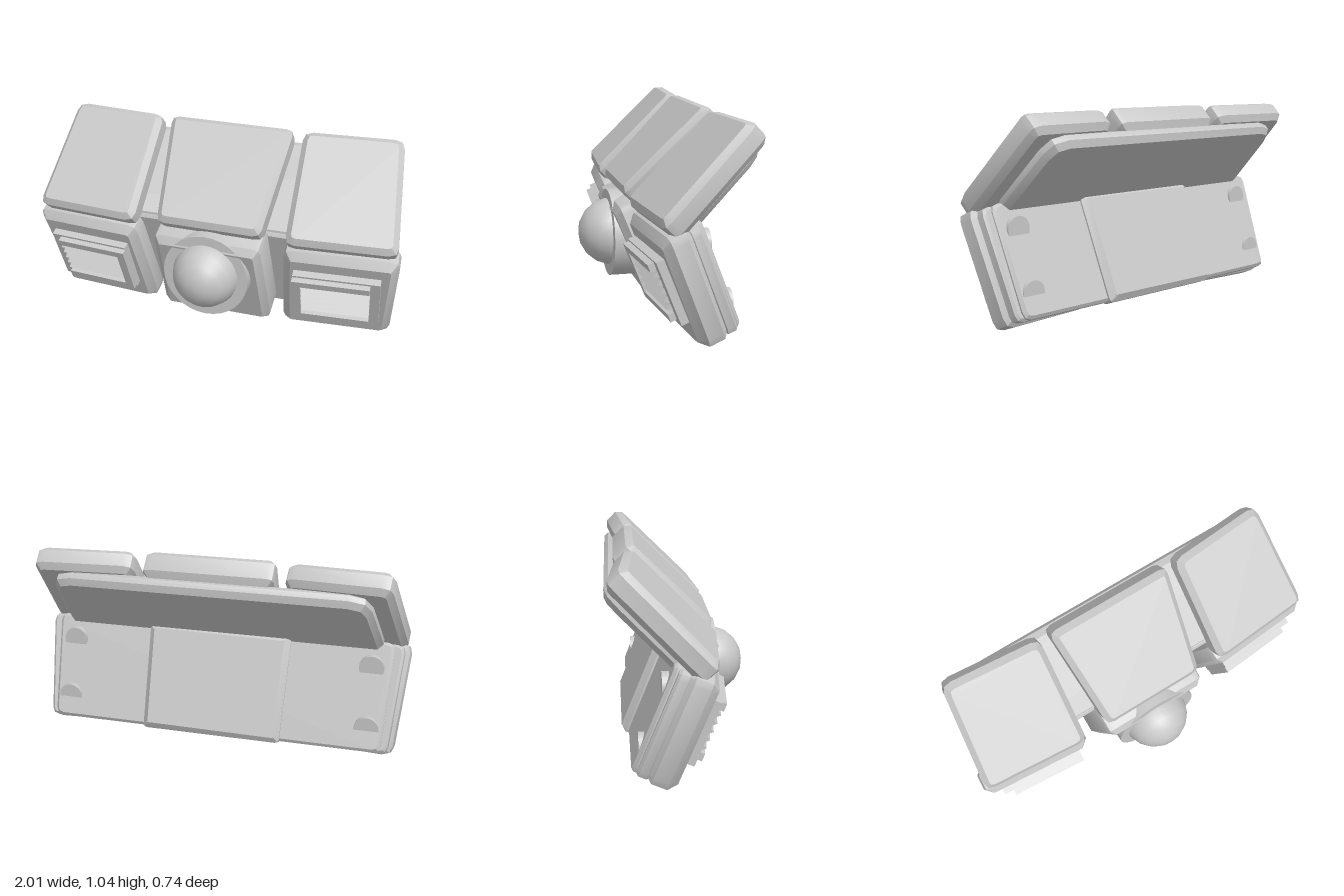
import * as THREE from 'three';
import { toCreasedNormals } from 'three/addons/utils/BufferGeometryUtils.js';

const LOWER_TILT = 0.38;
const LID_TILT = -Math.PI / 4;
const YAW = 0.08;
const PIVOT = 0.7;

// Bevelled plate from a corner outline, between two depths, with cut corners
function slabGeometry(corners, z0, z1, bevel, cut) {
  const shape = new THREE.Shape();
  const n = corners.length;
  corners.forEach((c, i) => {
    const p = new THREE.Vector2(...c);
    const prev = new THREE.Vector2(...corners[(i + n - 1) % n]).sub(p).setLength(cut).add(p);
    const next = new THREE.Vector2(...corners[(i + 1) % n]).sub(p).setLength(cut).add(p);
    if (i === 0) shape.moveTo(prev.x, prev.y);
    else shape.lineTo(prev.x, prev.y);
    shape.quadraticCurveTo(p.x, p.y, next.x, next.y);
  });
  shape.closePath();
  const g = new THREE.ExtrudeGeometry(shape, {
    depth: z1 - z0 - 2 * bevel, bevelEnabled: true, bevelThickness: bevel,
    bevelSize: bevel, bevelOffset: -bevel, bevelSegments: 1, curveSegments: 2,
  });
  g.translate(0, 0, z0 + bevel);
  return toCreasedNormals(g, 0.5);
}

// Four corners of a symmetric trapezoid
const trapezoid = (bottom, top, y0, y1) => [[-bottom, y0], [bottom, y0], [top, y1], [-top, y1]];

export function createModel() {
  const model = new THREE.Group();
  model.name = 'foldingUnit';
  const grey = new THREE.MeshStandardMaterial({ color: 0xc8c8c8 });
  grey.name = 'lightGrey';

  const add = (parent, name, geometry, x = 0, y = 0, z = 0) => {
    const mesh = new THREE.Mesh(geometry, grey);
    mesh.name = name;
    mesh.position.set(x, y, z);
    parent.add(mesh);
    return mesh;
  };
  const tilted = (parent, name, angle) => {
    const g = new THREE.Group();
    g.name = name;
    g.rotation.x = angle;
    parent.add(g);
    return g;
  };

  // Lower body: backing plate, rear box and centre block
  const body = tilted(model, 'body', LOWER_TILT);
  add(body, 'bodyBackingPlate', slabGeometry(trapezoid(0.9, 0.93, -0.025, 0.545), -0.275, -0.16, 0.015, 0.04));
  add(body, 'rearBox', slabGeometry(trapezoid(0.375, 0.39, -0.035, 0.53), -0.315, -0.2, 0.03, 0.02));
  add(body, 'centreBlock', slabGeometry(trapezoid(0.31, 0.295, 0, 0.575), -0.2, 0.016, 0.035, 0.04));

  // Lid: backing plate and centre panel
  const lid = tilted(model, 'lid', LID_TILT);
  add(lid, 'lidBackingPlate', slabGeometry(trapezoid(0.88, 0.82, 0.36, 0.91), 0.354, 0.44, 0.028, 0.1));
  add(lid, 'lidCentrePanel', slabGeometry(trapezoid(0.285, 0.345, 0.305, 0.922), 0.43, 0.58, 0.03, 0.04));

  // Side wings, turned slightly outward
  for (const s of [1, -1]) {
    const wing = new THREE.Group();
    wing.name = s > 0 ? 'leftWing' : 'rightWing';
    wing.position.x = s * PIVOT;
    wing.rotation.y = s * YAW;
    model.add(wing);
    const local = pts => pts.map(([x, y]) => [s * (x - PIVOT), y]);

    const lower = tilted(wing, 'wingBody', LOWER_TILT);
    add(lower, 'sidePanel', slabGeometry(
      local([[0.38, -0.03], [0.965, -0.03], [1.0, 0.56], [0.4, 0.56]]), -0.195, -0.035, 0.04, 0.05));
    add(lower, 'sidePanelBack', slabGeometry(
      local([[0.42, -0.02], [0.95, -0.02], [0.98, 0.545], [0.43, 0.545]]), -0.235, -0.17, 0.012, 0.04));

    // Vent: flange, open-sided frame and wedge slats
    add(lower, 'ventFlange', new THREE.BoxGeometry(0.455, 0.335, 0.06), s * (0.683 - PIVOT), 0.288, -0.025);
    for (const y of [0.158, 0.424])
      add(lower, 'ventRail', new THREE.BoxGeometry(0.405, 0.04, 0.032), s * (0.657 - PIVOT), y, 0.02);
    add(lower, 'ventPost', new THREE.BoxGeometry(0.045, 0.306, 0.032), s * (0.477 - PIVOT), 0.291, 0.02);
    const wedge = new THREE.Shape([[0, -0.02], [0.028, 0.003], [0, 0.018]].map(p => new THREE.Vector2(...p)));
    const slat = new THREE.ExtrudeGeometry(wedge, { depth: 0.36, bevelEnabled: false });
    slat.rotateY(-Math.PI / 2);
    slat.translate(0.18, 0, 0);
    for (let i = 0; i < 5; i++)
      add(lower, 'ventSlat', slat, s * (0.68 - PIVOT), 0.203 + i * 0.044, 0.004);

    const upper = tilted(wing, 'wingLid', LID_TILT);
    add(upper, 'lidSidePanel', slabGeometry(
      local([[0.405, 0.305], [0.985, 0.305], [0.95, 0.938], [0.42, 0.938]]), 0.425, 0.557, 0.03, 0.05));

    // Rear pegs, half sunk into the backing plate
    for (const [y, z] of [[0.185, -0.225], [0.48, -0.115]]) {
      const peg = new THREE.CylinderGeometry(0.065, 0.065, 0.12, 24);
      peg.rotateX(Math.PI / 2);
      add(model, 'rearPeg', peg, s * 0.82, y, z + 0.06);
    }
  }

  // Sensor dome with its collar
  const collar = new THREE.CylinderGeometry(0.235, 0.235, 0.2, 32);
  collar.rotateX(Math.PI / 2);
  add(model, 'domeCollar', collar, 0, 0.343, 0.111);
  const dome = new THREE.SphereGeometry(0.182, 32, 9);
  dome.rotateX(Math.PI / 2);
  add(model, 'dome', dome, 0, 0.348, 0.187);

  // Centre on x and z and stand on the ground
  const box = new THREE.Box3().setFromObject(model, true);
  const mid = box.getCenter(new THREE.Vector3());
  model.position.set(-mid.x, -box.min.y, -mid.z);
  return model;
}
